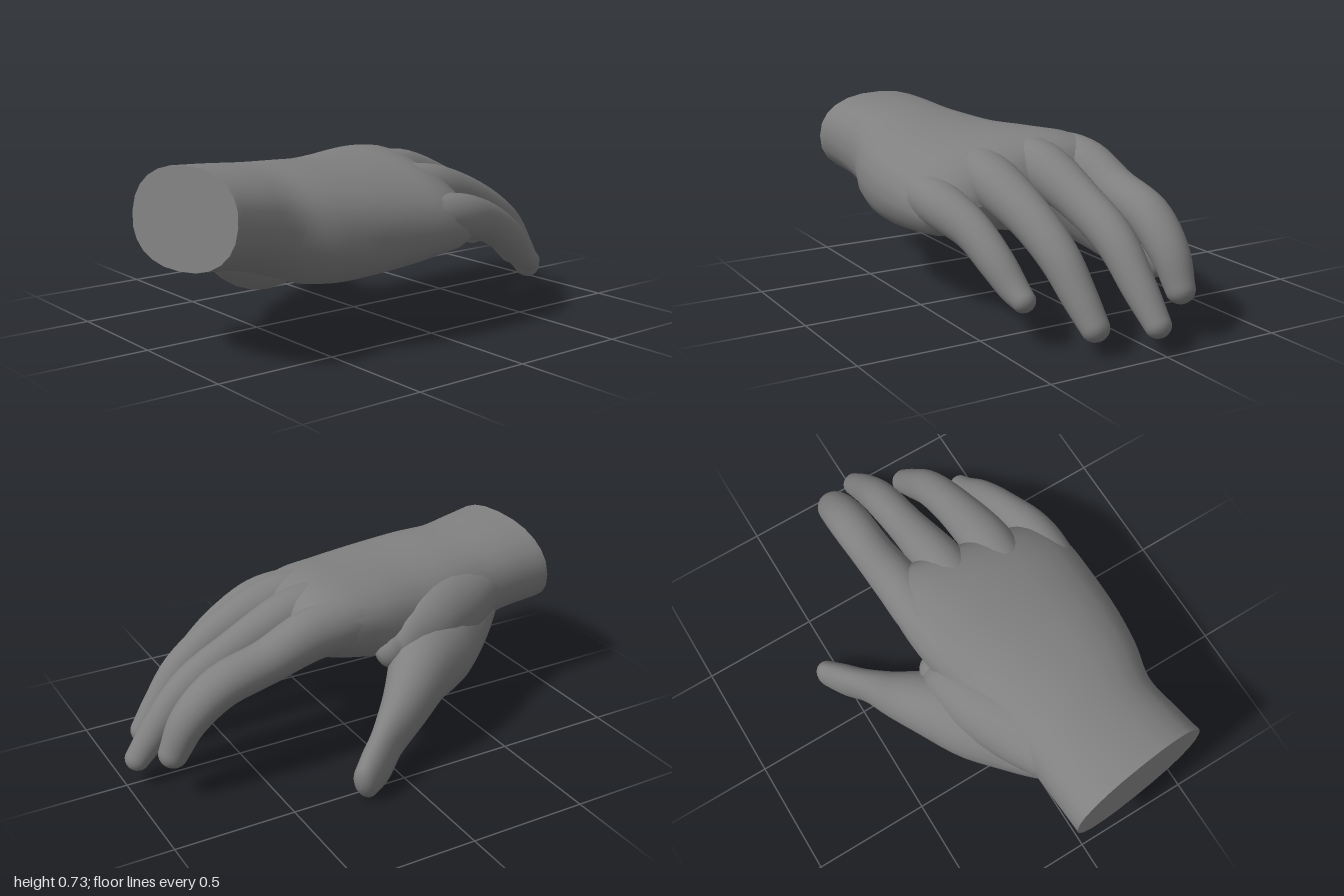
import * as THREE from 'three';

const SIDES = 24;
const material = new THREE.MeshStandardMaterial({ color: 0x808080 });

// Smooth skin over a list of closed rings
function skin(name, rings) {
  const n = SIDES, index = [];
  for (let i = 0; i < rings.length - 1; i++) {
    for (let j = 0; j < n; j++) {
      const k = (j + 1) % n;
      const a = i * n + j, b = a + n, c = (i + 1) * n + k, d = i * n + k;
      index.push(a, b, c, a, c, d);
    }
  }
  const geometry = new THREE.BufferGeometry().setFromPoints(rings.flat());
  geometry.setIndex(index);
  geometry.computeVertexNormals();
  const mesh = new THREE.Mesh(geometry, material);
  mesh.name = name;
  return mesh;
}

// Smoothly interpolate rows of numbers, three columns per curve
function blend(rows, t) {
  const column = (k) => new THREE.CatmullRomCurve3(
    rows.map((r) => new THREE.Vector3(r[k], r[k + 1] ?? 0, r[k + 2] ?? 0)), false, 'catmullrom', 0.5);
  return [0, 3, 6].flatMap((k) => column(k).getPoint(t).toArray());
}

// Digit: rows of x, y, z, height radius, width radius; rounded tip
function digit(name, rows, steps = 30) {
  const path = new THREE.CatmullRomCurve3(
    rows.map((r) => new THREE.Vector3(r[0], r[1], r[2])), false, 'catmullrom', 0.5);
  const rings = [];
  const addRing = (t, push, scale) => {
    const [x, y, z, high, wide] = blend(rows, t);
    const along = path.getTangent(t);
    const side = along.clone().cross(new THREE.Vector3(0, 1, 0)).normalize();
    const up = side.clone().cross(along);
    const centre = new THREE.Vector3(x, y, z).addScaledVector(along, push * Math.min(high, wide));
    rings.push(Array.from({ length: SIDES }, (_, j) => {
      const a = (j / SIDES) * Math.PI * 2;
      return centre.clone()
        .addScaledVector(side, wide * scale * Math.cos(a))
        .addScaledVector(up, high * scale * Math.sin(a));
    }));
  };
  for (let i = 0; i <= steps; i++) addRing(i / steps, 0, 1);
  for (let i = 1; i <= 6; i++) {
    const a = (i / 6) * Math.PI / 2;
    addRing(1, Math.sin(a), Math.max(Math.cos(a), 0.001));
  }
  return skin(name, rings);
}

// Palm and forearm stub: x, y, z, half height, half width, slope across z, lean over z, lean over y
function palmRings() {
  const rows = [
    [-0.965, 0.545, 0.23, 0.192, 0.31, 0.04, 0.035, 0.02],
    [-0.8, 0.53, 0.215, 0.196, 0.305, 0.02, 0.01, 0],
    [-0.64, 0.5, 0.203, 0.212, 0.305, 0, 0, 0],
    [-0.48, 0.47, 0.205, 0.233, 0.35, -0.02, 0, 0],
    [-0.3, 0.465, 0.2, 0.225, 0.383, -0.06, 0, 0],
    [-0.1, 0.48, 0.18, 0.203, 0.41, -0.12, 0, 0],
    [0.05, 0.493, 0.17, 0.185, 0.415, -0.16, -0.01, 0],
    [0.15, 0.497, 0.165, 0.16, 0.4, -0.2, -0.02, 0],
    [0.22, 0.497, 0.16, 0.12, 0.38, -0.22, -0.03, 0],
    [0.26, 0.495, 0.16, 0.06, 0.35, -0.22, -0.03, 0],
    [0.275, 0.495, 0.16, 0.001, 0.32, -0.22, -0.03, 0],
  ];
  const rings = [], steps = 50;
  const round = (v) => Math.sign(v) * Math.abs(v) ** 0.88;
  for (let i = 0; i <= steps; i++) {
    const [x, y, z, high, wide, slope, leanZ, leanY] = blend(rows, i / steps);
    rings.push(Array.from({ length: SIDES }, (_, j) => {
      const a = (j / SIDES) * Math.PI * 2;
      const c = round(Math.cos(a)), s = round(Math.sin(a));
      return new THREE.Vector3(x + leanZ * c + leanY * s, y + high * s + slope * wide * c, z + wide * c);
    }));
  }
  return rings;
}

export function createModel() {
  const hand = new THREE.Group();
  hand.name = 'hand';

  const rings = palmRings();
  hand.add(skin('palm', rings));

  // Flat cut at the wrist
  const cut = new THREE.BufferGeometry().setFromPoints(rings[0]);
  const fan = [];
  for (let j = 1; j < SIDES - 1; j++) fan.push(0, j, j + 1);
  cut.setIndex(fan);
  cut.computeVertexNormals();
  const wristCut = new THREE.Mesh(cut, material);
  wristCut.name = 'wristCut';
  hand.add(wristCut);

  // Fingers, starting inside the palm
  hand.add(digit('indexFinger', [
    [-0.15, 0.55, -0.09, 0.08, 0.09],
    [0.05, 0.565, -0.135, 0.105, 0.105],
    [0.24, 0.555, -0.15, 0.108, 0.1],
    [0.44, 0.49, -0.16, 0.092, 0.09],
    [0.64, 0.435, -0.165, 0.087, 0.09],
    [0.78, 0.325, -0.165, 0.077, 0.078],
    [0.855, 0.195, -0.165, 0.06, 0.058],
  ]));
  hand.add(digit('middleFinger', [
    [-0.15, 0.575, 0.07, 0.08, 0.09],
    [0.05, 0.58, 0.055, 0.1, 0.105],
    [0.24, 0.56, 0.045, 0.105, 0.103],
    [0.48, 0.472, 0.03, 0.09, 0.083],
    [0.69, 0.37, 0.02, 0.082, 0.077],
    [0.835, 0.23, 0.015, 0.07, 0.066],
    [0.945, 0.11, 0.005, 0.05, 0.053],
  ]));
  hand.add(digit('ringFinger', [
    [-0.15, 0.55, 0.25, 0.08, 0.09],
    [0.05, 0.55, 0.262, 0.1, 0.105],
    [0.23, 0.525, 0.27, 0.102, 0.106],
    [0.46, 0.44, 0.257, 0.09, 0.087],
    [0.64, 0.33, 0.242, 0.082, 0.077],
    [0.755, 0.205, 0.225, 0.07, 0.067],
    [0.84, 0.105, 0.21, 0.054, 0.057],
  ]));
  hand.add(digit('littleFinger', [
    [-0.2, 0.46, 0.45, 0.08, 0.08],
    [0, 0.465, 0.475, 0.095, 0.095],
    [0.18, 0.45, 0.48, 0.093, 0.092],
    [0.36, 0.393, 0.452, 0.08, 0.075],
    [0.5, 0.303, 0.43, 0.072, 0.068],
    [0.59, 0.225, 0.41, 0.06, 0.058],
    [0.65, 0.187, 0.4, 0.046, 0.048],
  ]));

  // Thumb with the fleshy mound at its base
  hand.add(digit('thumb', [
    [-0.76, 0.48, 0.15, 0.11, 0.15],
    [-0.6, 0.39, 0.07, 0.165, 0.19],
    [-0.48, 0.34, -0.01, 0.18, 0.2],
    [-0.34, 0.335, -0.15, 0.18, 0.185],
    [-0.2, 0.32, -0.28, 0.155, 0.135],
    [-0.08, 0.24, -0.365, 0.125, 0.097],
    [0.04, 0.16, -0.435, 0.105, 0.066],
    [0.13, 0.112, -0.5, 0.108, 0.062],
    [0.205, 0.085, -0.55, 0.085, 0.052],
  ]));
  // Flesh between the thumb and the back of the hand
  hand.add(digit('thumbWeb', [
    [-0.78, 0.53, 0.12, 0.12, 0.16],
    [-0.52, 0.47, 0.0, 0.17, 0.18],
    [-0.34, 0.445, -0.11, 0.165, 0.15],
    [-0.2, 0.43, -0.175, 0.13, 0.105],
    [-0.12, 0.42, -0.19, 0.08, 0.07],
  ]));
  return hand;
}
